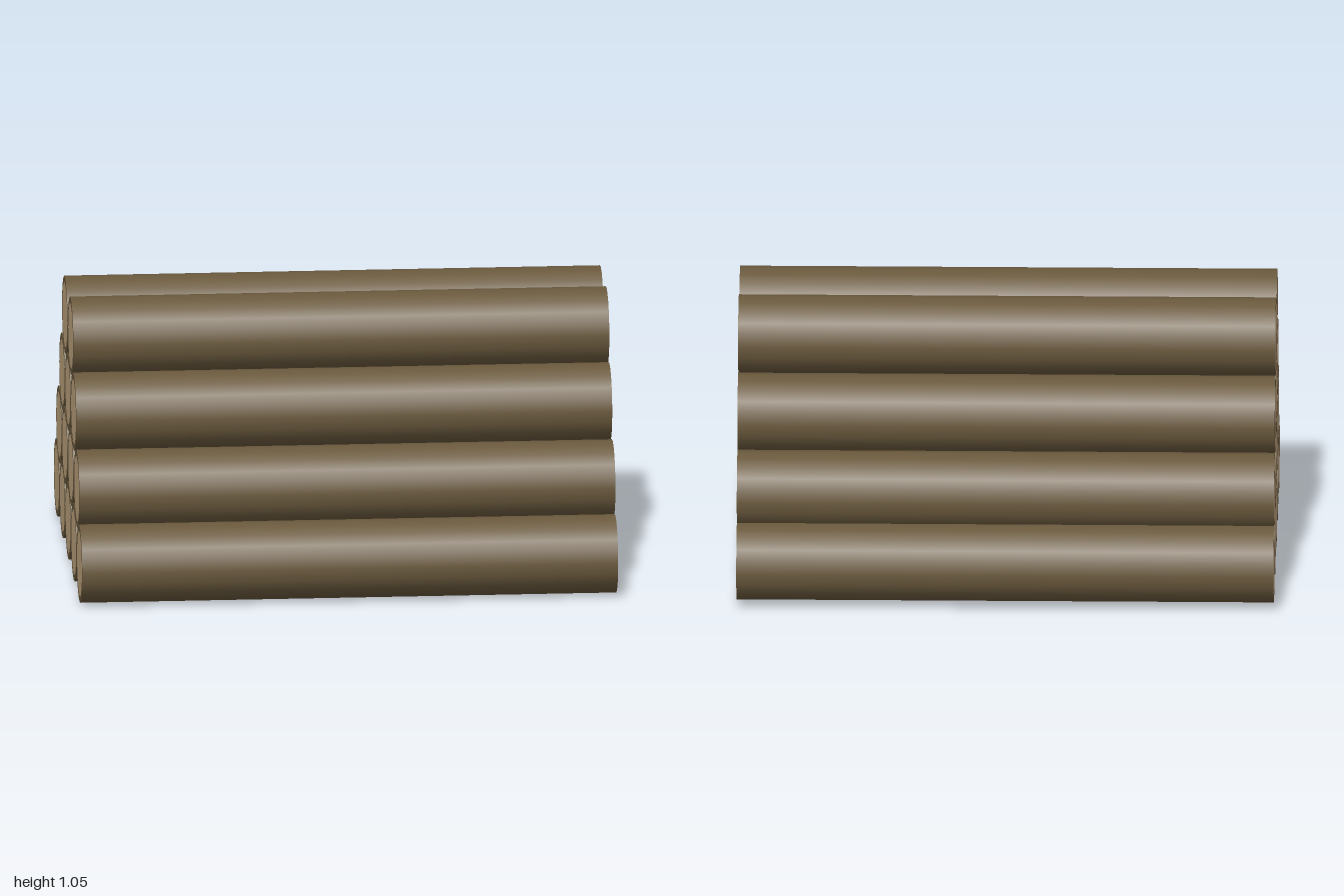
import * as THREE from 'three';

const RADIUS = 0.146, CORE = 0.123, LENGTH = 2, SIDES = 20;

// Log centres as [z, y], one list per layer from the ground up
const LAYERS = [
  [[0.584, 0.147], [0.292, 0.15], [0, 0.154], [-0.291, 0.157], [-0.584, 0.161]],
  [[0.445, 0.398], [0.137, 0.398], [-0.17, 0.398], [-0.461, 0.398]],
  [[0.282, 0.651], [-0.01, 0.648], [-0.304, 0.645]],
  [[0.133, 0.903], [-0.163, 0.903]],
];

export function createModel() {
  const model = new THREE.Group();
  model.name = 'logPile';

  const bark = new THREE.MeshStandardMaterial({ color: 0x6b5a3e });
  const wood = new THREE.MeshStandardMaterial({ color: 0xc4a882 });

  // Shared geometries, laid along x
  const barkGeo = new THREE.CylinderGeometry(RADIUS, RADIUS, LENGTH, SIDES, 1, true).rotateZ(Math.PI / 2);
  const rimGeo = new THREE.RingGeometry(CORE, RADIUS, SIDES);
  const coreGeo = new THREE.CircleGeometry(CORE, SIDES);

  const addPart = (parent, name, geometry, material) => {
    const mesh = new THREE.Mesh(geometry, material);
    mesh.name = name;
    parent.add(mesh);
    return mesh;
  };

  LAYERS.forEach((layer, i) => layer.forEach(([z, y], j) => {
    const log = new THREE.Group();
    log.name = `log${i + 1}_${j + 1}`;
    log.position.set(0, y, z);
    addPart(log, 'bark', barkGeo, bark);

    // Sawn ends: bark rim around a pale core
    for (const side of [-1, 1]) {
      const end = new THREE.Group();
      end.name = side > 0 ? 'leftEnd' : 'rightEnd';
      end.position.x = side * LENGTH / 2;
      end.rotation.y = side * Math.PI / 2;
      addPart(end, 'barkRim', rimGeo, bark);
      addPart(end, 'woodCore', coreGeo, wood);
      log.add(end);
    }
    model.add(log);
  }));

  return model;
}
